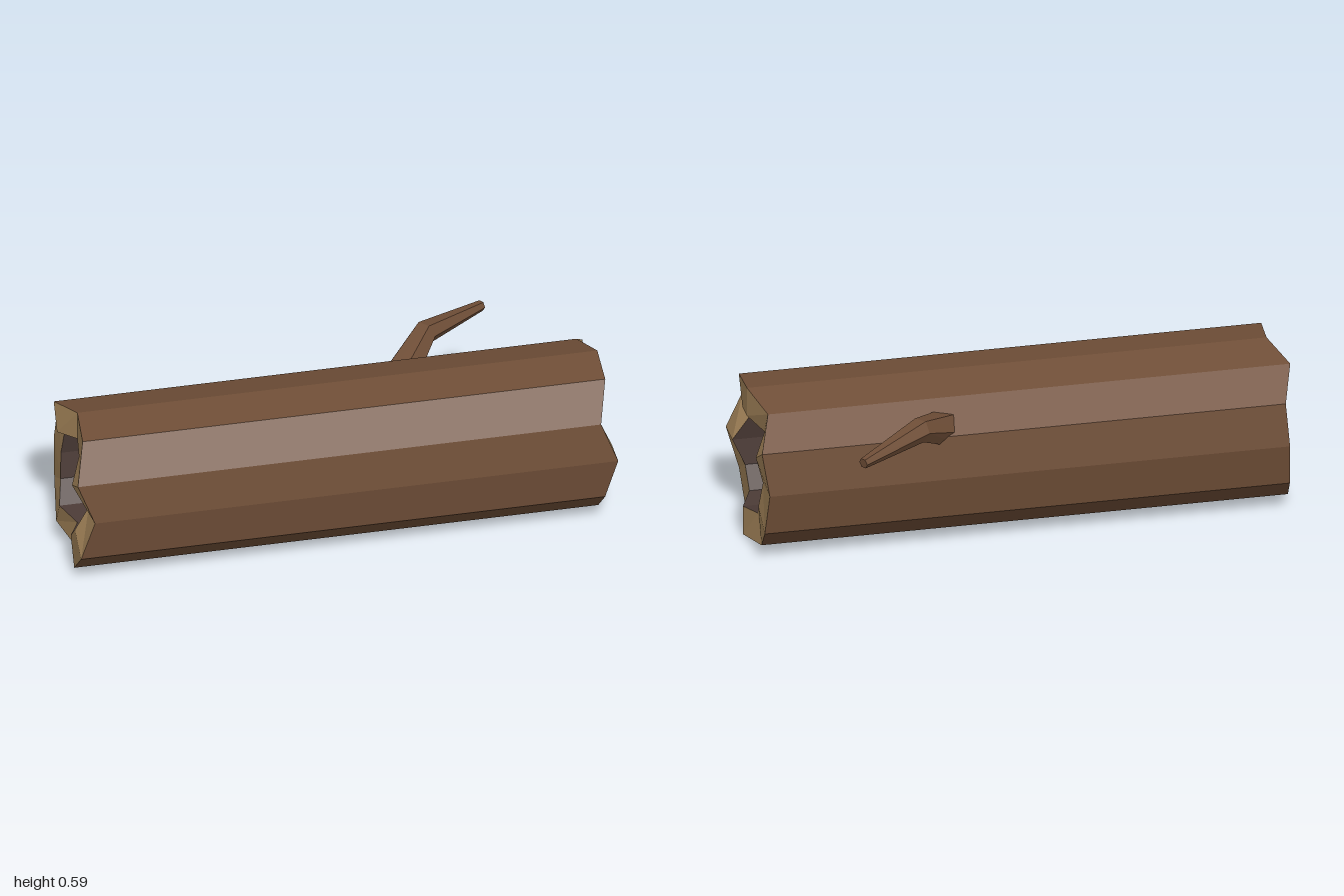
import * as THREE from 'three';

const V = (x, y, z) => new THREE.Vector3(x, y, z);

// Skin between pairs of matching closed rings of points
function loft(...rings) {
  const pos = [];
  for (let k = 0; k + 1 < rings.length; k++) {
    const a = rings[k], b = rings[k + 1], n = a.length;
    for (let i = 0; i < n; i++) {
      const j = (i + 1) % n;
      for (const p of [a[i], b[i], a[j], b[i], b[j], a[j]]) pos.push(p.x, p.y, p.z);
    }
  }
  const g = new THREE.BufferGeometry();
  g.setAttribute('position', new THREE.Float32BufferAttribute(pos, 3));
  g.computeVertexNormals();
  return g;
}

export function createModel() {
  const flat = (name, color) => {
    const m = new THREE.MeshStandardMaterial({ color, flatShading: true });
    m.name = name;
    return m;
  };
  const bark = flat('bark', 0x6f4e37);
  const cutWood = flat('cutWood', 0xa5855a);
  const hollowWood = flat('hollowWood', 0x4a3a35);

  const group = new THREE.Group();
  group.name = 'hollowLog';
  const add = (name, geometry, material) => {
    const mesh = new THREE.Mesh(geometry, material);
    mesh.name = name;
    group.add(mesh);
  };

  // Trunk cross-sections as [z, y], from the top round the back
  const outer = [[.12, .59], [-.03, .55], [-.16, .455], [-.187, .295], [-.16, .133], [-.035, .026],
    [.12, 0], [.275, .022], [.393, .135], [.41, .295], [.384, .445], [.28, .57]];
  const inner = [[.12, .477], [.026, .453], [-.054, .392], [-.07, .295], [-.052, .195], [.022, .128],
    [.12, .113], [.215, .125], [.287, .196], [.3, .295], [.282, .388], [.218, .465]];
  // Jagged ends
  const rightX = [.985, .94, .99, .967, .98, .965, 1, .955, .955, 1, .942, .98];
  const leftX = [-.945, -1, -.955, -.965, -.97, -.99, -.945, -.99, -.99, -.942, -1, -.96];
  const ring = (section, xs) => section.map(([z, y], i) => V(xs[i], y, z));
  const outR = ring(outer, rightX), outL = ring(outer, leftX);
  const inR = ring(inner, rightX), inL = ring(inner, leftX);

  add('trunkBark', loft(outL, outR), bark);
  add('trunkHollow', loft(inR, inL), hollowWood);
  add('rightCutEnd', loft(outR, inR), cutWood);
  add('leftCutEnd', loft(inL, outL), cutWood);

  // Bent six-sided branch, rooted inside the hollow
  const path = [V(.2, .39, .04), V(.42, .525, -.225), V(.665, .498, -.393)];
  const radii = [.085, .046, .02];
  const rings = path.map((p, k) => {
    const before = path[Math.max(k - 1, 0)], after = path[Math.min(k + 1, 2)];
    const dir = after.clone().sub(before).normalize();
    const side = dir.clone().cross(V(0, 1, 0)).normalize();
    const up = side.clone().cross(dir);
    return Array.from({ length: 6 }, (_, i) => p.clone()
      .addScaledVector(side, radii[k] * Math.cos(i * Math.PI / 3))
      .addScaledVector(up, radii[k] * Math.sin(i * Math.PI / 3)));
  });
  const point = p => Array(6).fill(p);
  add('branch', loft(point(path[0]), ...rings, point(path[2])), bark);

  return group;
}
